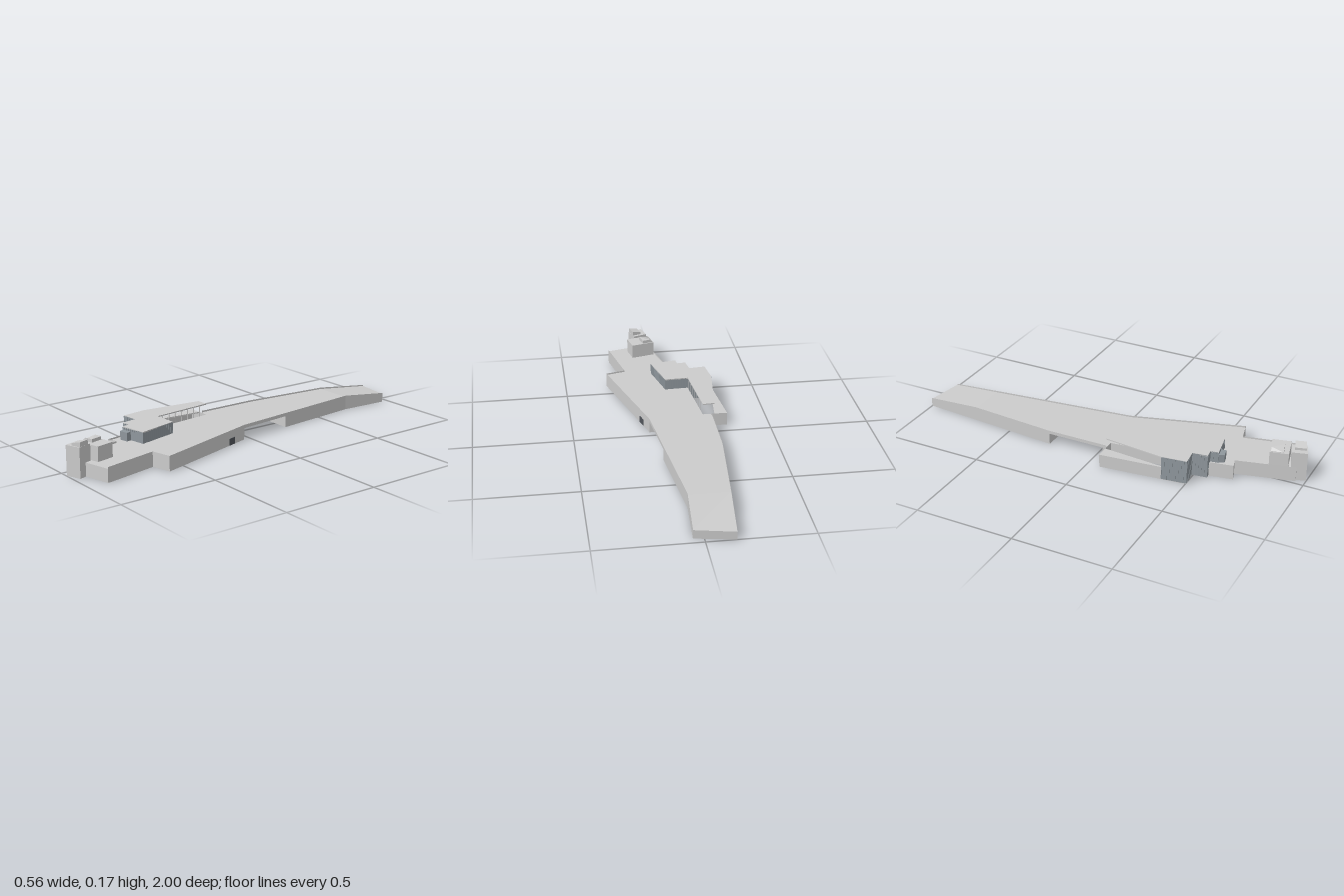
import * as THREE from 'three';

const grey = new THREE.MeshStandardMaterial({ color: 0xcccccc, flatShading: true });
const greyThin = new THREE.MeshStandardMaterial({ color: 0xcccccc, flatShading: true, side: THREE.DoubleSide });
const glass = new THREE.MeshStandardMaterial({ color: 0x8f979d, flatShading: true, side: THREE.DoubleSide });
const dark = new THREE.MeshStandardMaterial({ color: 0x50545a });

function makeMesh(name, positions, material) {
  const geo = new THREE.BufferGeometry();
  geo.setAttribute('position', new THREE.Float32BufferAttribute(positions.flat(), 3));
  geo.computeVertexNormals();
  const mesh = new THREE.Mesh(geo, material);
  mesh.name = name;
  return mesh;
}

// Solid over a plan outline of [x, z, optional own top height]
function prism(name, outline, y0, y1, material = grey) {
  const plan = outline.map(p => new THREE.Vector2(p[0], -p[1]));
  const pts = [...outline];
  if (THREE.ShapeUtils.isClockWise(plan)) { plan.reverse(); pts.reverse(); }
  const lo = pts.map(p => [p[0], y0, p[1]]);
  const hi = pts.map(p => [p[0], p[2] ?? y1, p[1]]);
  const out = [];
  for (const [a, b, c] of THREE.ShapeUtils.triangulateShape(plan, [])) {
    out.push(hi[a], hi[b], hi[c], lo[c], lo[b], lo[a]);
  }
  pts.forEach((_, i) => {
    const j = (i + 1) % pts.length;
    out.push(lo[i], lo[j], hi[j], lo[i], hi[j], hi[i]);
  });
  return makeMesh(name, out, material);
}

// Thin upright wall along a path of [x, z, optional bottom, optional top]
function wall(name, path, y0, y1, material = greyThin) {
  const out = [];
  for (let i = 0; i + 1 < path.length; i++) {
    const [a, b] = [path[i], path[i + 1]];
    const al = [a[0], a[2] ?? y0, a[1]], ah = [a[0], a[3] ?? y1, a[1]];
    const bl = [b[0], b[2] ?? y0, b[1]], bh = [b[0], b[3] ?? y1, b[1]];
    out.push(al, bl, bh, al, bh, ah);
  }
  return makeMesh(name, out, material);
}

function box(name, w, h, d, x, y, z, material = grey) {
  const mesh = new THREE.Mesh(new THREE.BoxGeometry(w, h, d), material);
  mesh.position.set(x, y, z);
  mesh.name = name;
  return mesh;
}

export function createModel() {
  const model = new THREE.Group();
  const deck = 0.067, rim = 0.075, roofTop = 0.125;

  // Main body: front block, thin bridge span, then the tapering ramp
  model.add(prism('frontBlock', [
    [-0.205, 0.04], [0.115, 0.035], [0.28, 0.595], [0.18, 0.62], [0.24, 0.9], [0.02, 0.955],
    [-0.05, 0.67], [-0.1, 0.685], [-0.12, 0.57], [-0.13, 0.38], [-0.16, 0.065], [-0.2, 0.065],
  ], 0, deck));
  model.add(prism('bridgeSpan', [
    [-0.205, 0.04], [0.115, 0.035], [0.084, -0.255], [-0.205, -0.255],
  ], 0.058, deck));
  model.add(prism('rearBlock', [
    [-0.205, -0.255], [0.084, -0.255], [0.035, -0.71], [-0.165, -0.71],
  ], 0, deck));
  model.add(prism('ramp', [
    [-0.165, -0.71, deck], [0.035, -0.71, deck], [0.05, -0.965, 0.043], [-0.14, -1, 0.04],
  ], 0, deck));

  // Low parapets along both long edges
  model.add(wall('leftParapet', [
    [0.05, -0.965, 0.04, 0.049], [0.035, -0.71], [0.084, -0.255], [0.115, 0.035],
    [0.28, 0.595], [0.18, 0.62], [0.24, 0.9],
  ], deck - 0.009, rim));
  model.add(wall('rightParapet', [
    [-0.14, -1, 0.037, 0.046], [-0.165, -0.71], [-0.205, -0.255], [-0.205, 0.06],
  ], deck - 0.009, rim));
  model.add(wall('frontParapet', [
    [-0.12, 0.57], [-0.1, 0.685], [-0.05, 0.67], [0.02, 0.955],
  ], deck - 0.009, rim));

  // Dark doorway in the left wall
  const door = box('door', 0.008, 0.034, 0.045, 0.142, 0.018, 0.133, dark);
  door.rotation.y = Math.atan2(0.165, 0.56);
  model.add(door);

  // Side terrace: outer walls and a narrow walkway above an open court
  model.add(wall('terraceWall', [
    [-0.16, 0.065], [-0.285, 0.065], [-0.24, 0.505],
  ], 0, deck));
  model.add(prism('terraceWalk', [
    [-0.285, 0.065], [-0.22, 0.065], [-0.25, 0.42], [-0.249, 0.42],
  ], deck - 0.006, deck));

  // Pavilion: glazed walls under a flat roof
  const facade = [
    [-0.255, 0.38], [-0.24, 0.505], [-0.155, 0.495], [-0.145, 0.57], [-0.1, 0.565],
    [-0.095, 0.605], [0.04, 0.58], [-0.01, 0.375], [-0.13, 0.38], [-0.255, 0.38],
  ];
  model.add(wall('glazedWalls', facade, 0.003, roofTop - 0.002, glass));
  model.add(prism('pavilionRoof', [
    [-0.22, 0.07], [-0.16, 0.065], [-0.13, 0.38], ...facade.slice(0, 8).reverse(),
  ], roofTop - 0.006, roofTop));
  model.add(prism('entranceBay', [
    [-0.095, 0.6], [-0.08, 0.63], [-0.035, 0.62], [-0.042, 0.59],
  ], deck, 0.11, glass));

  // Upright ribs on the glazing
  const ribs = new THREE.Group();
  ribs.name = 'glazingRibs';
  for (let i = 0; i < 8; i++) {
    const [ax, az] = facade[i], [bx, bz] = facade[i + 1];
    const n = Math.round(Math.hypot(bx - ax, bz - az) / 0.014);
    for (let k = 0; k < n; k++) {
      const t = k / n;
      ribs.add(box('rib', 0.002, 0.118, 0.002, ax + (bx - ax) * t, 0.063, az + (bz - az) * t, glass));
    }
  }
  model.add(ribs);

  // Slim posts carrying the long roof wing
  for (let i = 0; i < 7; i++) {
    const t = i / 6;
    model.add(box('roofPost', 0.003, 0.055, 0.003, -0.156 + 0.024 * t, 0.093, 0.11 + 0.24 * t));
  }

  // Plant room with a hipped cap
  model.add(prism('plantRoom', [
    [-0.005, 0.825], [0.115, 0.795], [0.135, 0.885], [0.015, 0.915],
  ], deck, 0.14));
  model.add(prism('plantRoomCap', [
    [0, 0.83, 0.143], [0.018, 0.826, 0.156], [0.055, 0.817, 0.156],
    [0.07, 0.875, 0.156], [0.032, 0.885, 0.156], [0.014, 0.889, 0.143],
  ], 0.138, 0.15));

  // Front tower with a slanted cap
  model.add(prism('tower', [
    [0.025, 0.925], [0.095, 0.9], [0.118, 0.97], [0.045, 0.998],
  ], 0, 0.148));
  model.add(prism('towerCap', [
    [0.055, 0.93, 0.16], [0.1, 0.915, 0.171], [0.115, 0.965, 0.171], [0.07, 0.982, 0.16],
  ], 0.146, 0.16));

  return model;
}
